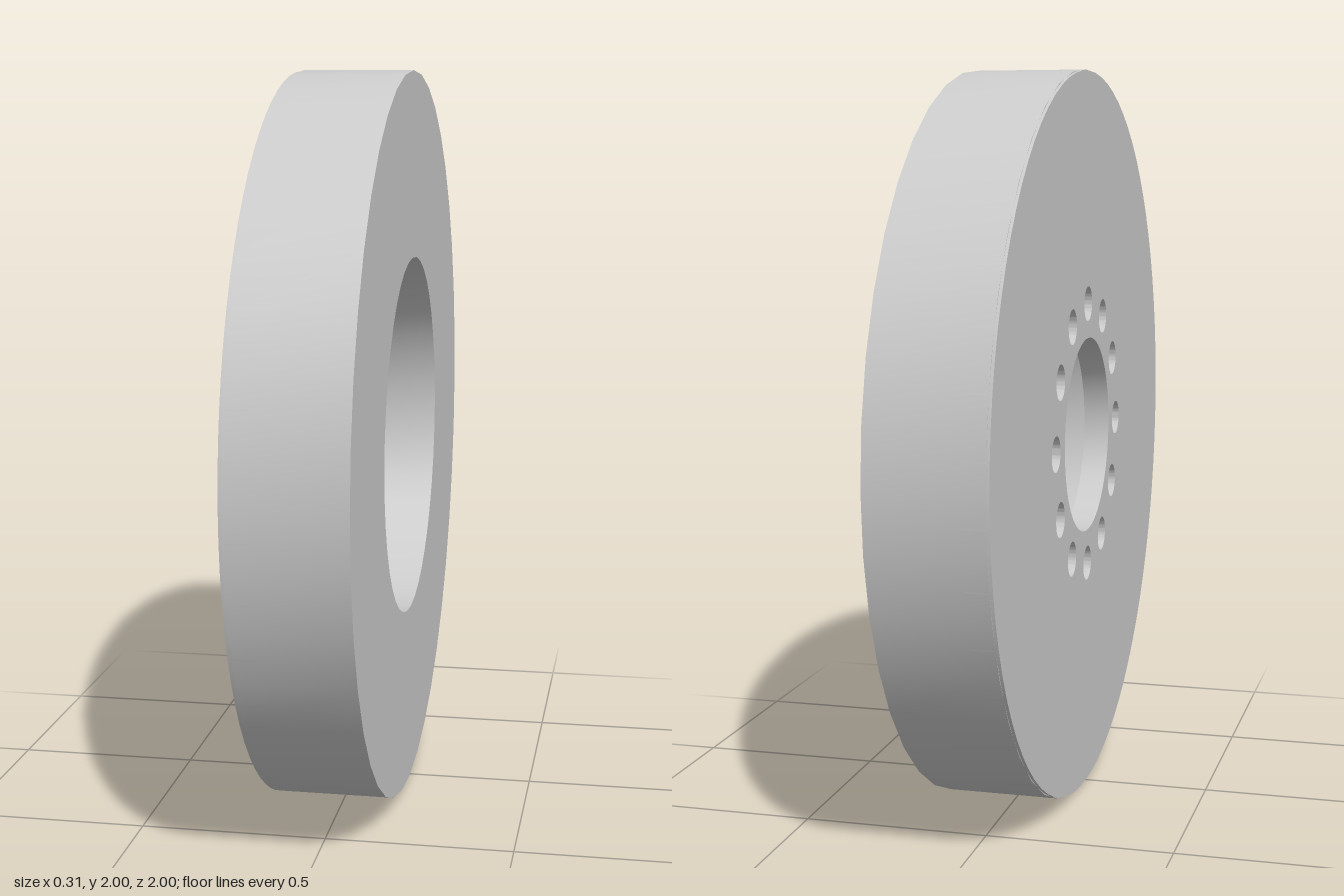
import * as THREE from 'three';
import { toCreasedNormals } from 'three/addons/utils/BufferGeometryUtils.js';

const SIDES = 40;

function circle(Type, radius, x = 0, y = 0) {
  const path = new Type();
  path.absarc(x, y, radius, 0, Math.PI * 2, false);
  return path;
}

export function createModel() {
  const model = new THREE.Group();
  const material = new THREE.MeshStandardMaterial({ color: 0xcccccc });

  const add = (name, geometry) => {
    const mesh = new THREE.Mesh(toCreasedNormals(geometry, 0.5), material);
    mesh.name = name;
    mesh.position.y = 1;
    model.add(mesh);
  };

  // Thick outer ring with the recess wall and the small raised lip on its floor
  const profile = [
    [0.99, -0.147], [1, -0.147], [1, 0.155], [0.495, 0.155],
    [0.49, -0.068], [0.465, -0.068], [0.465, -0.085],
  ].map(([r, x]) => new THREE.Vector2(r, x));
  const ring = new THREE.LatheGeometry(profile, SIDES);
  ring.rotateZ(-Math.PI / 2);
  add('wheelRing', ring);

  // Back plate with the centre bore and twelve bolt holes
  const plate = circle(THREE.Shape, 0.997);
  plate.holes.push(circle(THREE.Path, 0.27));
  for (let i = 0; i < 12; i++) {
    const a = (i * Math.PI) / 6;
    plate.holes.push(circle(THREE.Path, 0.048, 0.365 * Math.cos(a), 0.365 * Math.sin(a)));
  }
  const disc = new THREE.ExtrudeGeometry(plate, {
    depth: 0.072, bevelEnabled: false, curveSegments: SIDES,
  });
  disc.rotateY(Math.PI / 2).translate(-0.155, 0, 0);
  add('backPlate', disc);

  return model;
}
